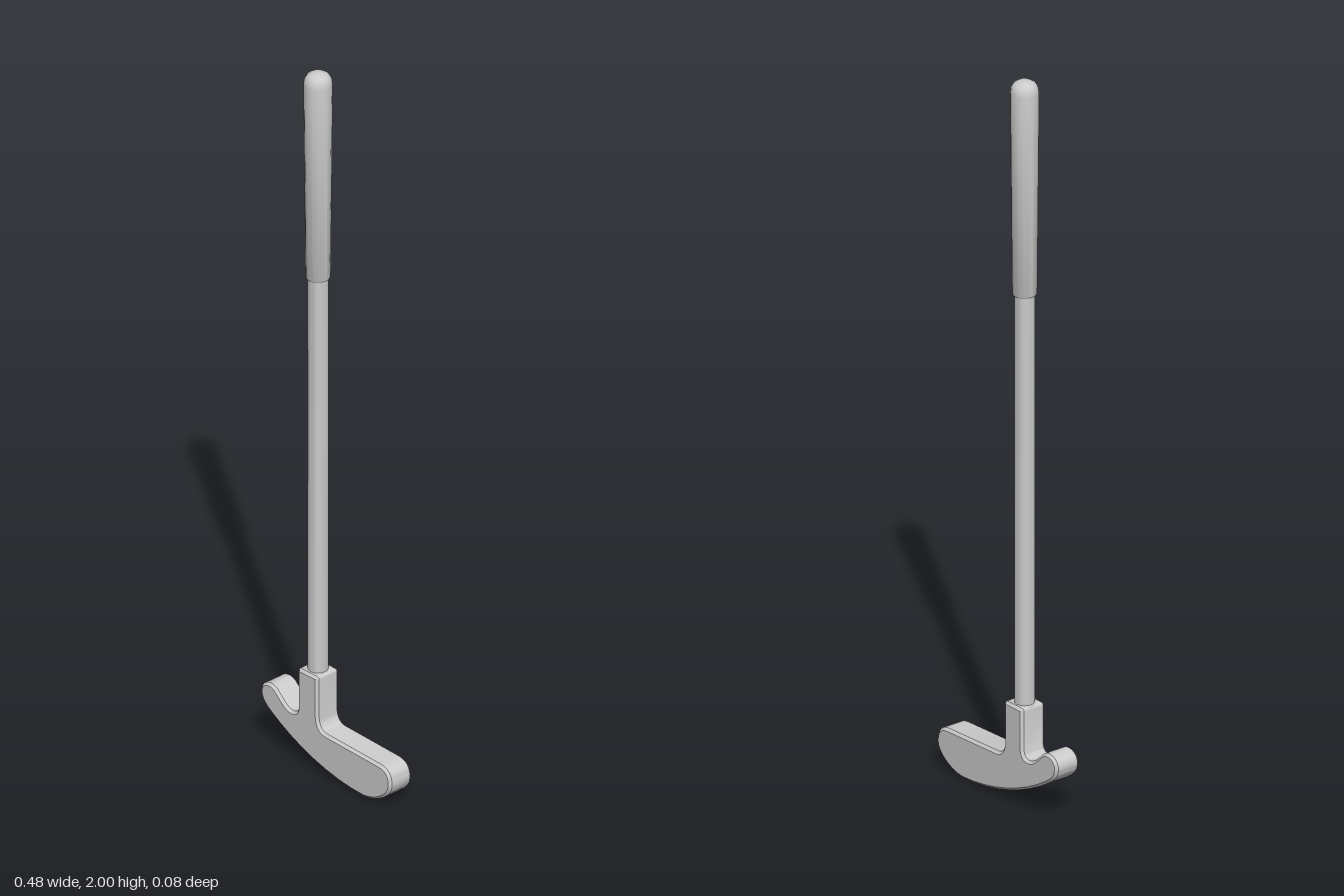
import * as THREE from 'three';
import { toCreasedNormals } from 'three/addons/utils/BufferGeometryUtils.js';

const SHAFT_X = -0.066;

export function createModel() {
  const group = new THREE.Group();
  const material = new THREE.MeshStandardMaterial({ color: 0xcccccc });

  const add = (name, geometry, x = 0) => {
    const mesh = new THREE.Mesh(toCreasedNormals(geometry, 0.6), material);
    mesh.name = name;
    mesh.position.x = x;
    group.add(mesh);
  };
  const lathe = (profile, sides) =>
    new THREE.LatheGeometry(profile.map(([r, y]) => new THREE.Vector2(r, y)), sides);

  // Curved club head with its square neck, one bevelled outline
  const outline = new THREE.Shape();
  outline.moveTo(-0.102, 0.267);
  outline.lineTo(-0.102, 0.16);
  outline.bezierCurveTo(-0.104, 0.138, -0.13, 0.135, -0.152, 0.153);
  outline.lineTo(-0.182, 0.181);
  outline.bezierCurveTo(-0.205, 0.197, -0.239, 0.183, -0.239, 0.157);
  outline.bezierCurveTo(-0.239, 0.135, -0.225, 0.122, -0.2, 0.105);
  outline.bezierCurveTo(-0.11, 0.045, 0.02, 0.0, 0.14, 0.0);
  outline.bezierCurveTo(0.185, 0.004, 0.238, 0.035, 0.239, 0.07);
  outline.bezierCurveTo(0.24, 0.1, 0.225, 0.116, 0.195, 0.117);
  outline.lineTo(0.0, 0.124);
  outline.quadraticCurveTo(-0.027, 0.126, -0.029, 0.16);
  outline.lineTo(-0.029, 0.267);
  outline.quadraticCurveTo(-0.029, 0.275, -0.037, 0.275);
  outline.lineTo(-0.094, 0.275);
  outline.quadraticCurveTo(-0.102, 0.275, -0.102, 0.267);
  const head = new THREE.ExtrudeGeometry(outline, {
    depth: 0.062, curveSegments: 8,
    bevelThickness: 0.007, bevelSize: 0.007, bevelOffset: -0.007, bevelSegments: 1,
  });
  head.translate(0, 0, -0.031);
  add('clubHead', head);

  // Straight shaft running from the neck into the grip
  const shaft = new THREE.CylinderGeometry(0.026, 0.026, 1.2, 16);
  shaft.translate(0, 0.85, 0);
  add('shaft', shaft, SHAFT_X);

  // Grip that widens towards a domed top
  add('grip', lathe([
    [0, 1.405], [0.029, 1.405], [0.032, 1.41], [0.037, 1.965],
    [0.035, 1.98], [0.028, 1.991], [0.016, 1.998], [0, 2],
  ], 16), SHAFT_X);

  return group;
}
